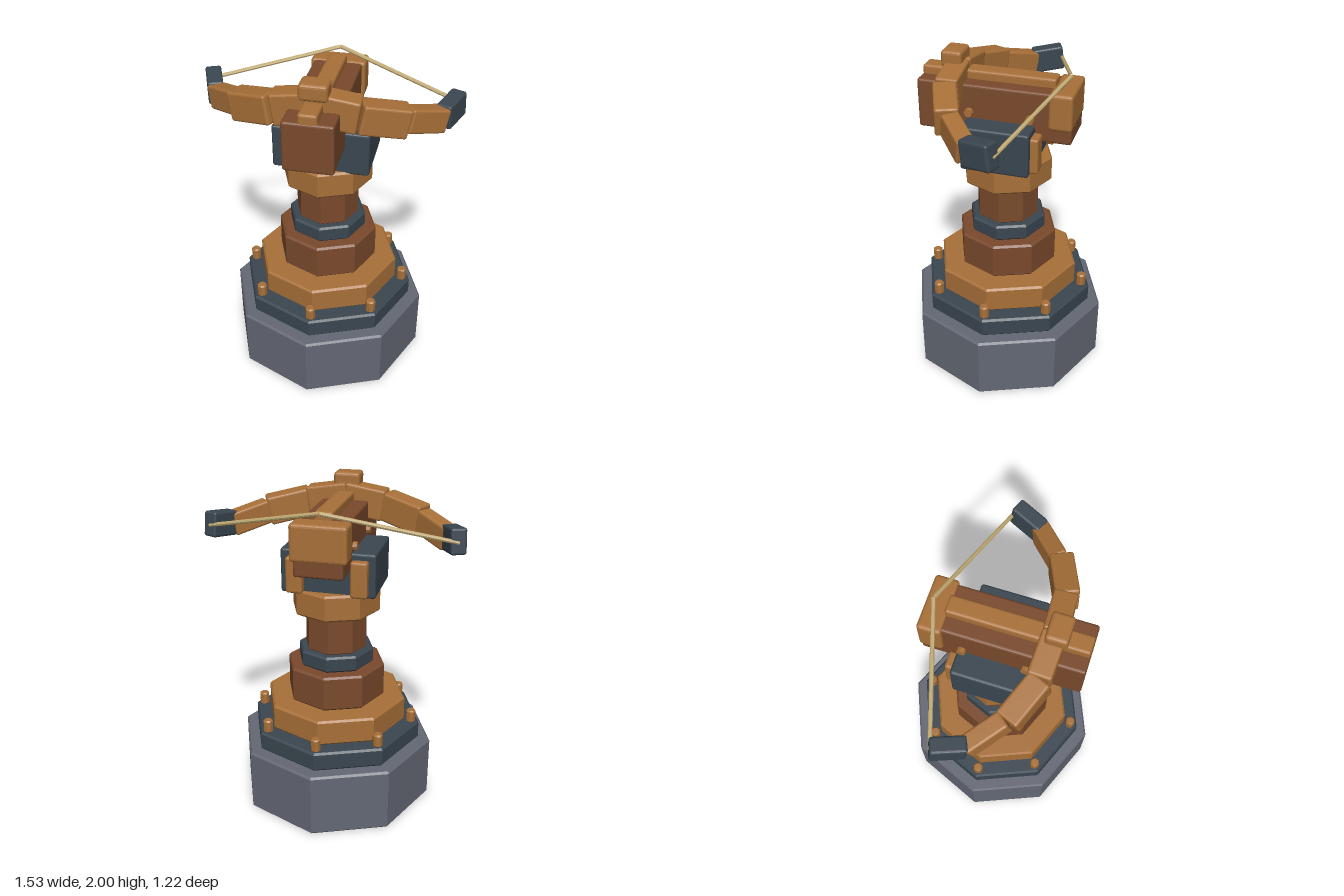
import * as THREE from 'three';
import { RoundedBoxGeometry } from 'three/addons/geometries/RoundedBoxGeometry.js';

const paint = (name, color) => {
  const m = new THREE.MeshStandardMaterial({ color, flatShading: true });
  m.name = name;
  return m;
};

export function createModel() {
  const stone = paint('stone grey', 0x646874);
  const iron = paint('dark iron', 0x3a4650);
  const wood = paint('light wood', 0xa87038);
  const brown = paint('dark wood', 0x7a4a2c);
  const cord = paint('cord', 0xbfa872);

  const model = new THREE.Group();
  model.name = 'mountedCrossbow';

  const add = (name, geometry, material, x = 0, y = 0, z = 0) => {
    const mesh = new THREE.Mesh(geometry, material);
    mesh.name = name;
    mesh.position.set(x, y, z);
    model.add(mesh);
    return mesh;
  };

  // Chamfered eight-sided drum between two heights
  const drum = (name, material, r, y0, y1, c = 0.012, sides = 8) => {
    const profile = [[0, y0], [r - c, y0], [r, y0 + c], [r, y1 - c], [r - c, y1], [0, y1]];
    const points = profile.map(([px, py]) => new THREE.Vector2(px, py));
    return add(name, new THREE.LatheGeometry(points, sides), material);
  };

  // Soft-edged box given by its low and high limits
  const block = (name, material, [x0, x1], [y0, y1], [z0, z1], r = 0.015) =>
    add(name, new RoundedBoxGeometry(x1 - x0, y1 - y0, z1 - z0, 2, r), material,
      (x0 + x1) / 2, (y0 + y1) / 2, (z0 + z1) / 2);

  // Soft-edged bar running between two points
  const bar = (name, material, a, b, width, height) => {
    const mid = a.clone().add(b).multiplyScalar(0.5);
    const geometry = new RoundedBoxGeometry(width, height, a.distanceTo(b), 2, 0.014);
    add(name, geometry, material, mid.x, mid.y, mid.z).lookAt(b);
  };

  // Stepped pedestal
  drum('base', stone, 0.61, 0, 0.4);
  drum('basePlate', iron, 0.535, 0.4, 0.52);
  drum('lowerTier', wood, 0.44, 0.52, 0.68);
  drum('columnFoot', brown, 0.305, 0.68, 0.9);
  drum('columnRing', iron, 0.235, 0.9, 1.0);
  drum('column', brown, 0.19, 1.0, 1.24, 0.006);
  drum('collar', wood, 0.27, 1.24, 1.4);

  // Studs around the base plate
  for (let i = 0; i < 8; i++) {
    const a = (i * Math.PI) / 4;
    const stud = drum('stud', wood, 0.03, 0.515, 0.597, 0.008, 8);
    stud.position.set(0.483 * Math.sin(a), 0, 0.483 * Math.cos(a));
  }

  // Swivel block and stock
  block('swivelBlock', iron, [-0.28, 0.28], [1.385, 1.648], [-0.2, 0.2]);
  block('stock', brown, [-0.142, 0.142], [1.553, 1.845], [-0.407, 0.494]);
  block('rail', wood, [-0.053, 0.053], [1.82, 1.896], [-0.29, 0.49]);
  block('rearBlock', wood, [-0.163, 0.163], [1.638, 1.853], [-0.411, -0.275], 0.02);
  block('bowCap', wood, [-0.08, 0.08], [1.905, 2.0], [0.247, 0.37], 0.02);

  // Mirrored halves
  for (const s of [1, -1]) {
    const p = (x, y, z) => new THREE.Vector3(s * x, y, z);

    // Bow limb in tapering sections with a dark tip
    bar('bowCentre', wood, p(-0.01, 1.852, 0.287), p(0.235, 1.815, 0.277), 0.13, 0.185);
    bar('bowLimbInner', wood, p(0.232, 1.815, 0.29), p(0.475, 1.763, 0.188), 0.132, 0.17);
    bar('bowLimbOuter', wood, p(0.47, 1.765, 0.178), p(0.655, 1.707, 0.02), 0.1, 0.14);
    bar('bowTip', iron, p(0.652, 1.717, 0.028), p(0.725, 1.742, -0.146), 0.092, 0.148);

    // Bow string
    const a = p(0.725, 1.735, -0.14), b = p(0, 1.905, -0.362);
    const string = new THREE.TubeGeometry(new THREE.LineCurve3(a, b), 1, 0.012, 8);
    add('bowString', string, cord);

    // Rear brackets and side pins
    const x = s * 0.19;
    block('rearBracket', wood, [x - 0.05, x + 0.05], [1.395, 1.61], [-0.245, -0.17]);
    for (const z of [0.183, -0.172]) {
      const pin = new THREE.CylinderGeometry(0.025, 0.025, 0.05, 8);
      add('sidePin', pin, wood, s * 0.143, 1.685, z).rotation.z = Math.PI / 2;
    }
  }
  return model;
}
